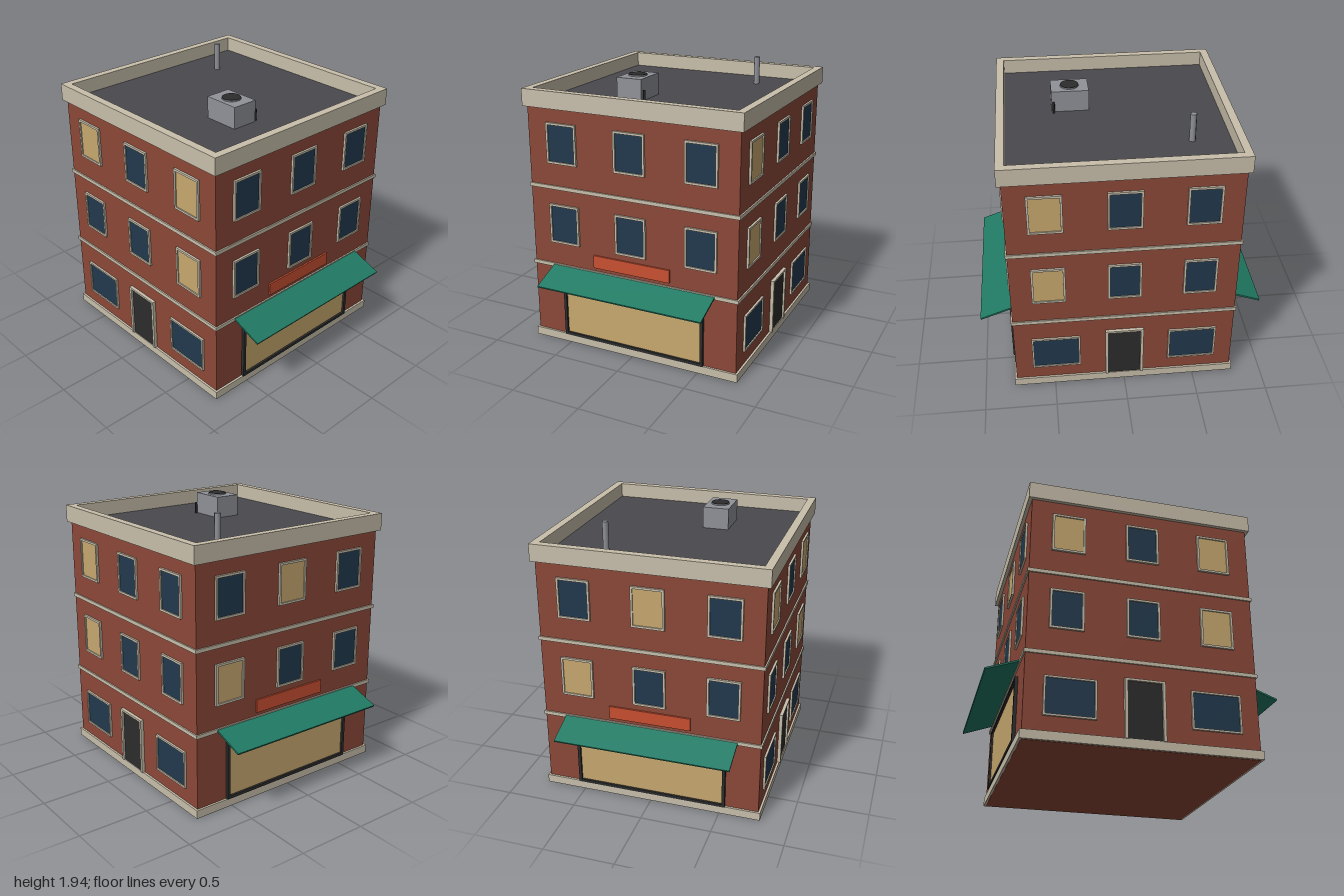
import * as THREE from 'three';

const mat = (name, color) => {
  const m = new THREE.MeshStandardMaterial({ color });
  m.name = name;
  return m;
};

export function createModel() {
  const brick = mat('brick', 0x8c4838), trim = mat('trim stone', 0xc8bfab);
  const glass = mat('dark glass', 0x22394e), lit = mat('lit glass', 0xc8a96f);
  const dark = mat('dark paint', 0x2c2c2c), green = mat('awning green', 0x207a64);
  const orange = mat('sign orange', 0xca5032), tar = mat('roof tar', 0x4a494e);
  const metal = mat('metal', 0x909298);
  const WALL = 0.775;

  const building = new THREE.Group();
  building.name = 'building';

  const add = (parent, name, geometry, material, x = 0, y = 0, z = 0) => {
    const mesh = new THREE.Mesh(geometry, material);
    mesh.name = name;
    mesh.position.set(x, y, z);
    parent.add(mesh);
    return mesh;
  };
  const box = (parent, name, material, w, h, d, x, y, z) =>
    add(parent, name, new THREE.BoxGeometry(w, h, d), material, x, y, z);

  // Rectangular ring in the xy plane, extruded along +z
  const ring = (w, h, border, depth) => {
    const rect = (T, a, b) => new T([
      new THREE.Vector2(-a, -b), new THREE.Vector2(a, -b),
      new THREE.Vector2(a, b), new THREE.Vector2(-a, b)]);
    const shape = rect(THREE.Shape, w / 2, h / 2);
    shape.holes.push(rect(THREE.Path, w / 2 - border, h / 2 - border));
    return new THREE.ExtrudeGeometry(shape, { depth, bevelEnabled: false });
  };

  // Framed opening lying on a wall that faces +z
  const opening = (wall, name, w, h, x, y, border, depth, frameMat, paneMat) => {
    const g = new THREE.Group();
    g.name = name;
    g.position.set(x, y, WALL);
    add(g, 'frame', ring(w, h, border, depth), frameMat);
    box(g, 'pane', paneMat, w - border * 2, h - border * 2, 0.008, 0, 0, 0.003);
    wall.add(g);
  };

  // Main mass, plinth and floor bands
  box(building, 'brickBody', brick, WALL * 2, 1.725, WALL * 2, 0, 0.8625, 0);
  box(building, 'plinth', trim, 1.58, 0.059, 1.58, 0, 0.0315, 0);
  for (const y of [0.585, 1.165]) box(building, 'floorBand', trim, 1.57, 0.026, 1.57, 0, y, 0);

  // Parapet and roof deck
  const parapet = add(building, 'parapet', ring(1.6, 1.6, 0.055, 0.12), trim, 0, 1.72, 0);
  parapet.rotation.x = -Math.PI / 2;
  box(building, 'roofDeck', tar, 1.52, 0.015, 1.52, 0, 1.73, 0);

  // Walls: lit lists the glowing windows as floor * 3 + column, left to right
  const walls = [
    { name: 'frontWall', turn: 0, lit: [2, 3, 5] },
    { name: 'eastWall', turn: Math.PI / 2, lit: [], shop: true },
    { name: 'backWall', turn: Math.PI, lit: [0, 3] },
    { name: 'westWall', turn: -Math.PI / 2, lit: [0, 4], shop: true },
  ];
  for (const spec of walls) {
    const wall = new THREE.Group();
    wall.name = spec.name;
    wall.rotation.y = spec.turn;
    building.add(wall);

    // Upper floor windows
    [0.902, 1.48].forEach((y, floor) => [-0.515, 0, 0.515].forEach((x, col) => {
      const pane = spec.lit.includes(floor * 3 + col) ? lit : glass;
      opening(wall, 'window', 0.23, 0.285, x, y, 0.015, 0.015, trim, pane);
    }));

    if (spec.shop) {
      // Shop window, sign and sloping awning
      opening(wall, 'shopWindow', 1.08, 0.445, 0, 0.2825, 0.021, 0.022, dark, lit);
      box(wall, 'signBoard', orange, 0.58, 0.092, 0.014, 0, 0.67, WALL + 0.005);
      const awning = box(wall, 'awning', green, 1.235, 0.012, 0.242, 0, 0.546, 0.886);
      awning.rotation.x = Math.atan2(0.083, 0.225);
    } else {
      // Ground floor windows and door
      for (const x of [-0.4825, 0.4825])
        opening(wall, 'groundWindow', 0.34, 0.265, x, 0.295, 0.013, 0.015, trim, glass);
      box(wall, 'door', dark, 0.23, 0.39, 0.012, 0, 0.255, WALL + 0.004);
      for (const s of [-1, 1])
        box(wall, 'doorJamb', trim, 0.02, 0.404, 0.025, s * 0.125, 0.262, WALL + 0.0115);
      box(wall, 'doorLintel', trim, 0.23, 0.015, 0.025, 0, 0.4565, WALL + 0.0115);
    }
  }

  // Rooftop cooling unit
  const unit = new THREE.Group();
  unit.name = 'coolingUnit';
  unit.position.set(0.288, 1.7375, 0.19);
  building.add(unit);
  box(unit, 'casing', metal, 0.26, 0.152, 0.186, 0, 0.076, 0);
  add(unit, 'fanCollar', new THREE.CylinderGeometry(0.065, 0.065, 0.008, 24), metal, 0, 0.156, 0);
  add(unit, 'fan', new THREE.CylinderGeometry(0.062, 0.062, 0.004, 24), dark, 0, 0.161, 0);
  add(unit, 'conduit', new THREE.CylinderGeometry(0.008, 0.008, 0.08, 8), dark, 0.116, 0.04, -0.11);

  // Vent pipe
  add(building, 'ventPipe', new THREE.CylinderGeometry(0.022, 0.022, 0.198, 8), metal, -0.485, 1.8365, -0.39);

  return building;
}
